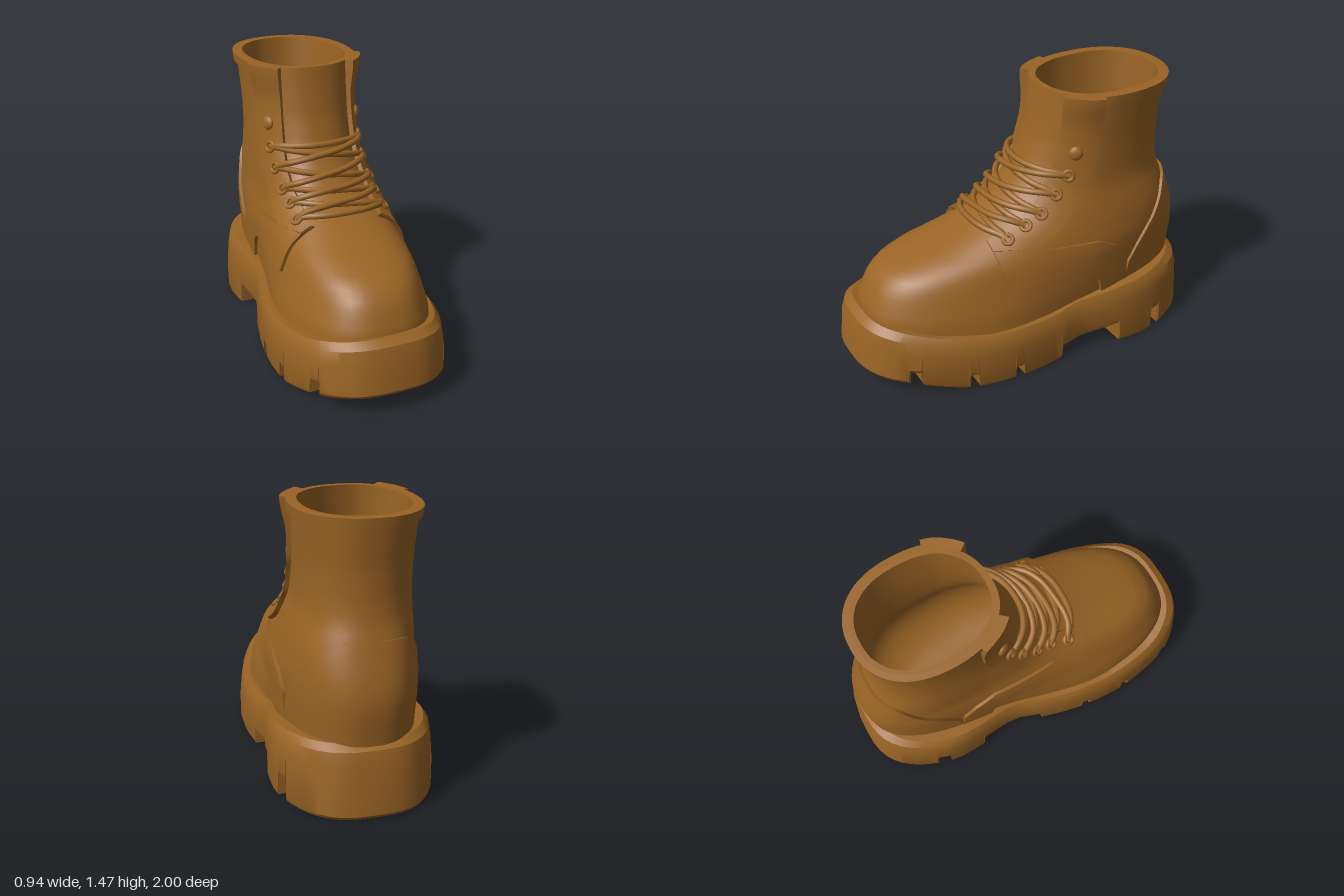
import * as THREE from 'three';
import { toCreasedNormals } from 'three/addons/utils/BufferGeometryUtils.js';

const V = (x, y, z) => new THREE.Vector3(x, y, z);
const spow = (v, p) => Math.sign(v) * Math.abs(v) ** p;
const { clamp, smoothstep } = THREE.MathUtils;

// Linear interpolation in a table whose first column is the key
function sample(rows, k) {
  let i = 0;
  while (i < rows.length - 2 && k > rows[i + 1][0]) i++;
  const a = rows[i], b = rows[i + 1];
  const f = clamp((k - a[0]) / (b[0] - a[0]), 0, 1);
  return a.slice(1).map((v, j) => v + (b[j + 1] - v) * f);
}

// Surface through a grid of points f(i, j); the front faces di x dj
function grid(nu, nv, f, crease = 0.7) {
  const pos = [], idx = [];
  for (let j = 0; j <= nv; j++) for (let i = 0; i <= nu; i++) pos.push(...f(i, j).toArray());
  for (let j = 0; j < nv; j++) for (let i = 0; i < nu; i++) {
    const a = j * (nu + 1) + i, c = a + nu + 1;
    idx.push(a, a + 1, c + 1, a, c + 1, c);
  }
  const g = new THREE.BufferGeometry();
  g.setAttribute('position', new THREE.Float32BufferAttribute(pos, 3));
  g.setIndex(idx);
  return toCreasedNormals(g, crease);
}

// Upper: height, back z, front z, half width at heel, half width at forefoot
const UPPER = [
  [0.25, -0.92, 0.90, 0.335, 0.42], [0.38, -0.93, 0.90, 0.345, 0.40],
  [0.52, -0.945, 0.84, 0.35, 0.358], [0.60, -0.945, 0.76, 0.35, 0.335],
  [0.66, -0.935, 0.54, 0.34, 0.32], [0.72, -0.92, 0.36, 0.325, 0.30],
  [0.78, -0.90, 0.21, 0.315, 0.285], [0.85, -0.88, 0.11, 0.305, 0.275],
  [0.95, -0.85, 0.03, 0.29, 0.275], [1.05, -0.84, -0.03, 0.285, 0.28],
  [1.2, -0.84, -0.08, 0.285, 0.285], [1.35, -0.855, -0.11, 0.295, 0.295],
  [1.47, -0.865, -0.13, 0.305, 0.305],
];
// Centre line curves with the foot; outlines are squarer at the foot, rounder at the shaft
const centre = (z, y = 0) => 0.045 - 0.09 * clamp((z + 0.3) / 1.0, 0, 1.1) - 0.025 * smoothstep(y, 0.7, 1.0);
const power = (y) => 0.75 + 0.13 * smoothstep(y, 0.75, 1.1);

// Point on the upper at height y and angle t (0 = front, PI/2 = +x)
function surf(y, t, inset = 0) {
  const [zb, zf, wb, wf] = sample(UPPER, y);
  const z = (zb + zf) / 2 + ((zf - zb) / 2 - inset) * spow(Math.cos(t), power(y));
  const w = wb + (wf - wb) * smoothstep(z, -0.3, 0.35) - inset;
  return V(centre(z, y) + w * spow(Math.sin(t), power(y)), y, z);
}
function normal(y, t) {
  const dt = surf(y, t + 0.03).sub(surf(y, t - 0.03));
  const dy = surf(y + 0.02, t).sub(surf(y - 0.02, t));
  return dt.cross(dy).normalize();
}
const raised = (y, t, h) => surf(y, t).addScaledVector(normal(y, t), h);
// Angle of the point at height y with the given z, or with the given |x| near the front
function angleAtZ(y, z) {
  const [zb, zf] = sample(UPPER, y);
  return Math.acos(spow(clamp((z - (zb + zf) / 2) / ((zf - zb) / 2), -1, 1), 1 / power(y)));
}
const angleAtX = (y, x) => Math.asin(Math.min(1, x / sample(UPPER, y)[3]) ** (1 / power(y)));

// Raised panel on the upper: f(a, b) gives [y, t]; thick(b) its thickness
function panel(nu, nv, f, thick) {
  return grid(nu + 2, nv + 2, (i, j) => {
    const a = clamp((i - 1) / nu, 0, 1), b = clamp((j - 1) / nv, 0, 1);
    const edge = i === 0 || j === 0 || i === nu + 2 || j === nv + 2;
    const [y, t] = f(a, b);
    return raised(y, t, edge ? -0.012 : thick(b));
  });
}

// Sole: bottom line with its lugs, top line and half widths along z
const TREAD = [
  [-1, 0], [-0.72, 0], [-0.715, 0.12], [-0.645, 0.12], [-0.64, 0], [-0.425, 0], [-0.42, 0.12],
  [-0.05, 0.085], [-0.045, 0.01], [0.2, 0], [0.205, 0.065], [0.25, 0.065], [0.255, 0],
  [0.46, 0], [0.465, 0.08], [0.51, 0.08], [0.515, 0.005], [0.55, 0.01], [0.75, 0.055],
  [0.755, 0.135], [0.81, 0.14], [0.815, 0.07], [1, 0.1],
];
const SOLE_TOP = [[-1, 0.38], [-0.5, 0.35], [0, 0.29], [0.4, 0.285], [0.7, 0.32], [1, 0.385]];
const SOLE_WIDTH = [
  [-1, 0.45], [-0.6, 0.46], [-0.2, 0.388], [-0.05, 0.425], [0.13, 0.458], [0.36, 0.474], [1, 0.468],
];

function soleGeometry() {
  const zs = TREAD.map((r) => r[0]);
  for (let i = 1; i < 36; i++) zs.push(-Math.cos((i / 36) * Math.PI));
  zs.sort((a, b) => a - b);
  const scales = [0.985, 1, 0.985, 0.965, 0.92];
  return grid(10, zs.length - 1, (i, j) => {
    const z = zs[j], k = i % 10, side = k < 5 ? 1 : -1, layer = k < 5 ? k : 9 - k;
    const [b] = sample(TREAD, z), [top] = sample(SOLE_TOP, z);
    const y = [b, b + 0.02, top - 0.1, top - 0.03, top][layer];
    const round = Math.sqrt(Math.max(0, 1 - Math.abs(z) ** (2 / 0.7))) ** 0.7;
    const x = sample(SOLE_WIDTH, z)[0] * round * side;
    return V(centre(z) + x * scales[layer], y, z * scales[layer]);
  }, 0.6);
}

export function createModel() {
  const boot = new THREE.Group();
  boot.name = 'boot';
  const leather = new THREE.MeshStandardMaterial({ color: 0x9a6425 });
  leather.name = 'brown leather';
  const add = (name, geometry) => {
    const m = new THREE.Mesh(geometry, leather);
    m.name = name;
    boot.add(m);
    return m;
  };

  add('sole', soleGeometry());

  // Upper with tongue: outside going up, over the rim, then down inside to a rounded bottom
  const rings = [];
  for (let i = 0; i <= 30; i++) rings.push([0.25 + (1.22 * i) / 30, 0]);
  for (let i = 0; i <= 12; i++) rings.push([1.47 - (0.62 * i) / 12, 0.035]);
  for (let i = 1; i <= 10; i++) {
    const q = (i / 10) * (Math.PI / 2);
    rings.push([0.85 - 0.35 * Math.sin(q), 0.035 + 0.305 * (1 - Math.cos(q))]);
  }
  add('upper', grid(64, rings.length - 1, (i, j) => surf(rings[j][0], (i / 64) * Math.PI * 2, rings[j][1])));

  // Heel counter wrapped round the back
  const heelStart = angleAtZ(0.4, -0.5);
  add('heelCounter', panel(40, 12, (a, b) => {
    const s = Math.abs(2 * a - 1);
    return [0.32 + 0.55 * (1 - 0.75 * s ** 5) * b, heelStart + 2 * (Math.PI - heelStart) * a];
  }, () => 0.016));

  // Collar roll round the back of the opening
  const collarStart = angleAtZ(1.45, -0.33);
  add('collar', panel(40, 3, (a, b) => [1.42 + 0.05 * b, collarStart + 2 * (Math.PI - collarStart) * a], () => 0.02));

  // Eyestay back edge: height, z;  side band: position, upper z, y, lower z, y
  const STAY = [[0.69, 0.07], [0.77, -0.1], [0.95, -0.25], [1.15, -0.33], [1.47, -0.35]];
  const BAND = [
    [0, 0.275, 0.725, 0.24, 0.49], [1, 0.05, 0.68, 0.1, 0.49], [2, -0.1, 0.67, -0.08, 0.5],
    [3, -0.3, 0.66, -0.2, 0.51], [4, -0.42, 0.6, -0.28, 0.47], [5, -0.49, 0.5, -0.31, 0.41],
    [6, -0.5, 0.33, -0.33, 0.31],
  ];
  // Lace holes: height, z
  const HOLES = [[0.73, 0.18], [0.785, 0.07], [0.84, -0.02], [0.935, -0.11], [1.035, -0.18]];

  for (const side of [1, -1]) {
    const label = side > 0 ? 'left' : 'right';
    const across = (a) => (side > 0 ? a : 1 - a);

    add(label + 'Eyestay', panel(8, 24, (a, b) => {
      const y = 0.69 + 0.78 * b, f = across(a);
      const t0 = Math.max(angleAtX(y, 0.19), angleAtZ(y, 0.27));
      const t1 = angleAtZ(y, sample(STAY, y)[0]);
      return [y, side * (t0 + (t1 - t0) * f)];
    }, (b) => 0.025 + 0.025 * smoothstep(b, 0.75, 1)));

    add(label + 'SideBand', panel(24, 6, (a, b) => {
      const [zu, yu, zl, yl] = sample(BAND, across(a) * 6);
      const y = yl + (yu - yl) * b;
      return [y, side * angleAtZ(y, zl + (zu - zl) * b)];
    }, () => 0.018));

    // Eyelets and the top stud
    const place = (mesh, y, z, h) => {
      const t = side * angleAtZ(y, z);
      mesh.position.copy(raised(y, t, h));
      mesh.quaternion.setFromUnitVectors(V(0, 0, 1), normal(y, t));
    };
    for (const [y, z] of HOLES) {
      place(add(label + 'Eyelet', new THREE.TorusGeometry(0.026, 0.011, 8, 16)), y, z, 0.03);
    }
    const stud = new THREE.SphereGeometry(0.038, 16, 10).scale(1, 1, 0.5);
    place(add(label + 'Stud', stud), 1.16, -0.22, 0.025);
  }

  // Laces: each runs from a hole on one side over the tongue to a hole on the other
  const lace = (from, to, side, lift) => {
    const t0 = side * angleAtZ(...from), t1 = -side * angleAtZ(...to);
    const pts = [];
    for (let i = 0; i <= 10; i++) {
      const f = i / 10, arch = Math.sin(f * Math.PI);
      const y = from[0] + (to[0] - from[0]) * f + 0.025 * Math.sqrt(arch);
      pts.push(raised(y, t0 + (t1 - t0) * f, 0.025 + lift * Math.min(1, arch * 2)));
    }
    add('lace', new THREE.TubeGeometry(new THREE.CatmullRomCurve3(pts), 36, 0.017, 8));
  };
  lace(HOLES[0], HOLES[0], 1, 0.005);
  for (let i = 0; i < HOLES.length - 1; i++) {
    lace(HOLES[i], HOLES[i + 1], 1, 0.005);
    lace(HOLES[i], HOLES[i + 1], -1, 0.025);
  }
  lace(HOLES[4], HOLES[4], 1, 0.01);

  return boot;
}
